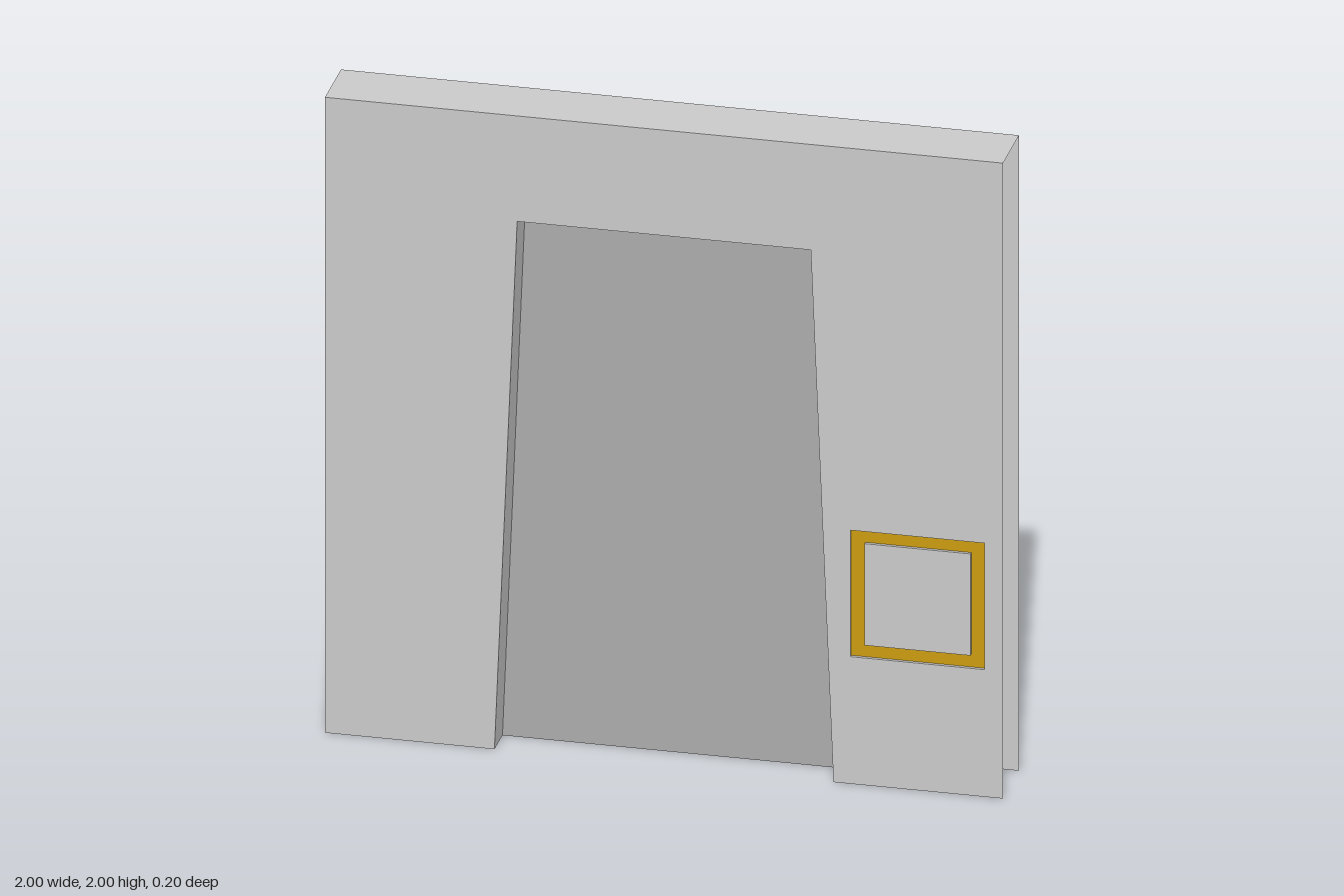
import * as THREE from 'three';

const T = 0.1;        // half wall thickness
const GROOVE = 0.09;  // depth plane of the coloured frame
const DOOR = [[-0.5, 0], [-0.433, 1.668], [0.433, 1.668], [0.5, 0]];

const mat = (color) => new THREE.MeshStandardMaterial({ color, side: THREE.DoubleSide, flatShading: true });
const wallMat = mat(0xcccccc);
const doorMat = mat(0xadadad);
const panelMat = mat(0xbfbfbf);
const goldMat = mat(0xcc9c0d);

const vecs = (pts) => pts.map(([x, y]) => new THREE.Vector2(x, y));

// Clockwise rectangle corners
const rect = (x0, y0, x1, y1) => [[x0, y0], [x0, y1], [x1, y1], [x1, y0]];
const close = (pts) => [...pts, pts[0]];

function add(group, name, geometry, material) {
  const mesh = new THREE.Mesh(geometry, material);
  mesh.name = name;
  group.add(mesh);
  return mesh;
}

// Flat sheet facing +z at depth z, with optional holes
function sheet(outline, z, holes = []) {
  const shape = new THREE.Shape(vecs(outline));
  holes.forEach((h) => shape.holes.push(new THREE.Path(vecs(h))));
  return new THREE.ShapeGeometry(shape).translate(0, 0, z);
}

// Strip swept along z from a polyline; it faces right of the travel direction
function ribbon(pts, z0, z1) {
  const pos = [];
  for (let i = 0; i < pts.length - 1; i++) {
    const p = pts[i], q = pts[i + 1];
    pos.push(...p, z0, ...q, z0, ...q, z1, ...p, z0, ...q, z1, ...p, z1);
  }
  const g = new THREE.BufferGeometry();
  g.setAttribute('position', new THREE.Float32BufferAttribute(pos, 3));
  g.computeVertexNormals();
  return g;
}

// One wall face with its recessed control frame
function makeFace(name) {
  const face = new THREE.Group();
  face.name = name;
  const outer = rect(0.55, 0.4, 0.945, 0.798);
  const inner = rect(0.592, 0.44, 0.904, 0.76);
  const outline = [[-1, 0], [-1, 2], [1, 2], [1, 0], ...[...DOOR].reverse()];
  add(face, 'wallFace', sheet(outline, T, [outer]), wallMat);
  add(face, 'grooveSides', ribbon(close(outer), GROOVE, T), wallMat);
  add(face, 'controlFrame', sheet(outer, GROOVE, [inner]), goldMat);
  add(face, 'controlPanelSides', ribbon(close([...inner].reverse()), GROOVE, T), panelMat);
  add(face, 'controlPanel', sheet(inner, T), panelMat);
  return face;
}

export function createModel() {
  const model = new THREE.Group();
  model.name = 'doorwayWall';

  // Both faces are the same, turned half round
  const back = makeFace('backFace');
  back.rotation.y = Math.PI;
  model.add(makeFace('frontFace'), back);

  // Top cap; the ends and underside stay open
  add(model, 'wallTop', ribbon([[1, 2], [-1, 2]], -T, T), wallMat);

  // Jambs and lintel through the wall, with the door in the middle
  add(model, 'doorReveal', ribbon(DOOR, -T, T), wallMat);
  add(model, 'door', sheet(DOOR, 0), doorMat);

  return model;
}
